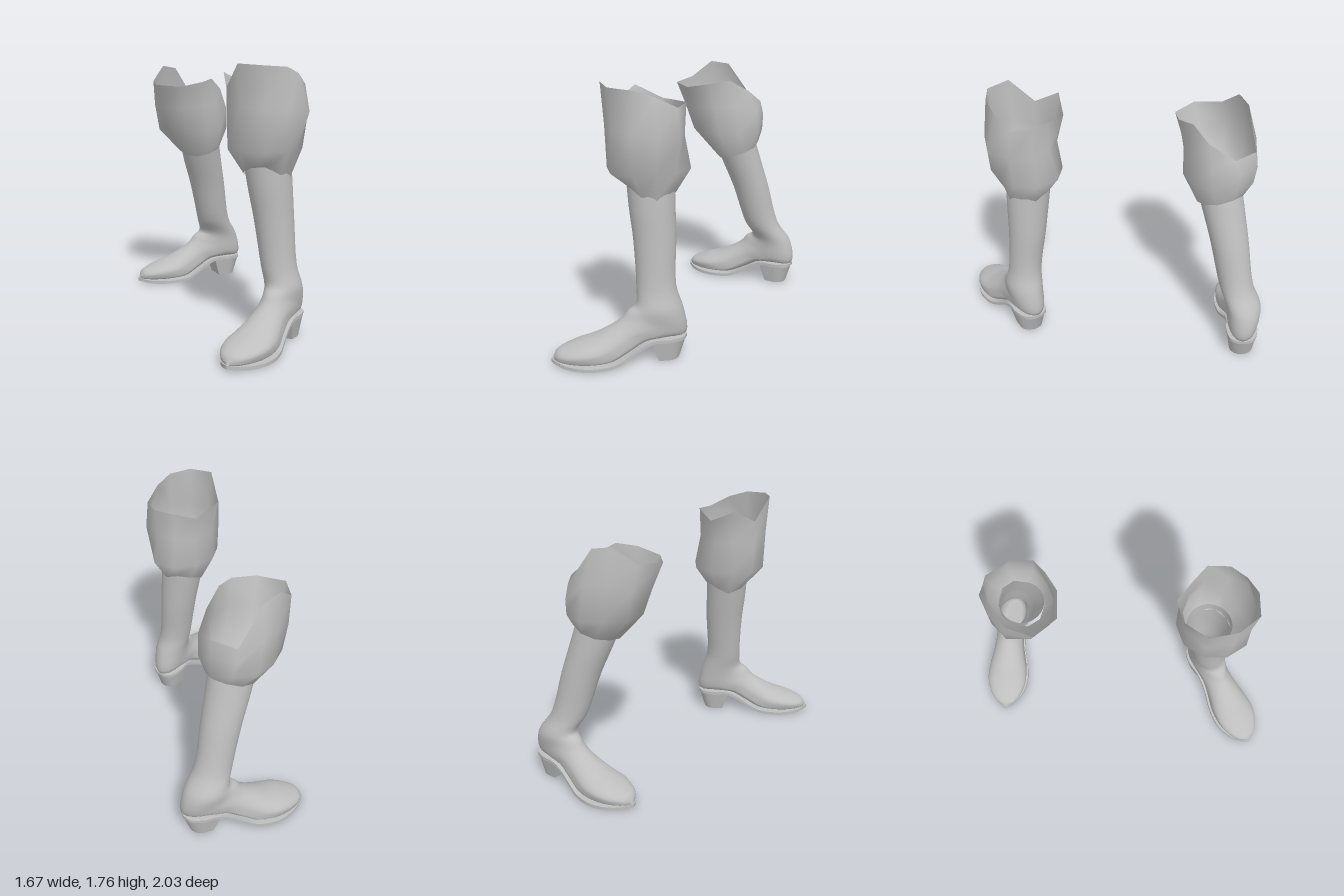
import * as THREE from 'three';
import { toCreasedNormals } from 'three/addons/utils/BufferGeometryUtils.js';

const leather = new THREE.MeshStandardMaterial({ color: 0xbebebe, side: THREE.DoubleSide });
leather.name = 'plain grey';

const V = (x, y, z) => new THREE.Vector3(x, y, z);

// Skin a list of closed rings, with optional fan caps on both ends.
function loft(rings, caps = false) {
  const n = rings[0].length, index = [];
  const pos = rings.flat().flatMap(p => [p.x, p.y, p.z]);
  for (let i = 0; i < rings.length - 1; i++) {
    for (let j = 0; j < n; j++) {
      const a = i * n + j, b = i * n + (j + 1) % n;
      index.push(a, b, a + n, b, b + n, a + n);
    }
  }
  if (caps) {
    const last = (rings.length - 1) * n;
    for (let j = 1; j < n - 1; j++) {
      index.push(0, j + 1, j, last, last + j, last + j + 1);
    }
  }
  const g = new THREE.BufferGeometry();
  g.setAttribute('position', new THREE.Float32BufferAttribute(pos, 3));
  g.setIndex(index);
  g.computeVertexNormals();
  return g;
}

// Foot sections: bottom s, y, top s, y, half width, squareness of the bottom
const FOOT = [
  [0.015, 0.32, 0.325, 0.37, 0.118, 1],
  [0.0, 0.16, 0.375, 0.335, 0.108, 0.9],
  [0.12, 0.15, 0.41, 0.29, 0.105, 0.6],
  [0.25, 0.14, 0.46, 0.25, 0.105, 0.5],
  [0.36, 0.085, 0.52, 0.215, 0.12, 0.45],
  [0.48, 0.03, 0.6, 0.175, 0.143, 0.4],
  [0.62, 0.02, 0.69, 0.145, 0.147, 0.4],
  [0.74, 0.02, 0.77, 0.115, 0.115, 0.45],
  [0.82, 0.025, 0.825, 0.09, 0.065, 0.5],
  [0.85, 0.03, 0.852, 0.05, 0.01, 0.6],
];

// Sole stations: s, underside height, half width
const SOLE = [
  [0, 0.135, 0.03], [0.03, 0.135, 0.08], [0.12, 0.135, 0.108], [0.22, 0.133, 0.105],
  [0.3, 0.1, 0.107], [0.4, 0.04, 0.122], [0.48, 0.008, 0.142], [0.6, 0, 0.157],
  [0.7, 0, 0.14], [0.79, 0.002, 0.09], [0.845, 0.01, 0.035], [0.865, 0.014, 0.004],
];

// Ring of a gathered cloth cuff from centre, radii and heights
function clothRing([cx, cz], radii, heights) {
  return radii.map((r, i) => {
    const a = (i / radii.length) * Math.PI * 2;
    return V(cx + r * Math.cos(a), heights[i], cz + r * Math.sin(a));
  });
}

function makeBoot({ name, side, heel, toe, shaft, cuff }) {
  const boot = new THREE.Group();
  boot.name = name;
  const add = (part, geometry) => {
    const m = new THREE.Mesh(geometry, leather);
    m.name = part;
    boot.add(m);
  };

  // Foot frame: u across, y up, s from heel back to toe tip
  const dir = V(toe[0] - heel[0], 0, toe[1] - heel[1]).normalize();
  const lat = V(dir.z, 0, -dir.x);
  const at = (u, y, s) => {
    const bow = side * 0.015 * Math.sin(Math.PI * s / 0.87);
    return V(heel[0], y, heel[1]).addScaledVector(dir, s).addScaledVector(lat, u + bow);
  };

  // Upper: horizontal shaft rings turning into foot sections
  const N = 28;
  const angles = Array.from({ length: N }, (_, j) => (j / N) * Math.PI * 2);
  const sections = shaft.map(([x, y, z, r, w]) => angles.map(t =>
    V(x, y, z).addScaledVector(dir, r * Math.cos(t)).addScaledVector(lat, w * Math.sin(t))));
  for (const [s1, y1, s2, y2, w, e] of FOOT) {
    sections.push(angles.map(t => {
      let c = Math.cos(t);
      if (c < 0) c = -Math.pow(-c, e);
      const k = (c + 1) / 2;
      return at(w * Math.sin(t), y1 + (y2 - y1) * k, s1 + (s2 - s1) * k);
    }));
  }
  const columns = angles.map((_, j) =>
    new THREE.CatmullRomCurve3(sections.map(r => r[j]), false, 'centripetal'));
  const steps = (sections.length - 1) * 4;
  const rings = Array.from({ length: steps + 1 }, (_, i) => columns.map(c => c.getPoint(i / steps)));
  add('upper', loft(rings));

  // Sole welt, swept along smoothed stations
  const path = new THREE.CatmullRomCurve3(SOLE.map(p => V(...p)), false, 'centripetal');
  const soleRings = path.getPoints(44).map(({ x: s, y, z: w }) =>
    [at(-w, y, s), at(w, y, s), at(w, y + 0.022, s), at(-w, y + 0.022, s)]);
  add('sole', toCreasedNormals(loft(soleRings, true), 0.6));

  // Stacked heel: flat breast, rounded back, tapering to the ground
  const heelRing = (y, back, front, w) => {
    const ring = [at(-w * 0.95, y, front), at(w * 0.95, y, front)];
    for (let i = 0; i <= 10; i++) {
      const a = (i / 10) * Math.PI;
      ring.push(at(w * Math.cos(a), y, back + (front - back) * 0.5 * (1 - Math.sin(a))));
    }
    return ring;
  };
  add('heel', toCreasedNormals(
    loft([heelRing(0, 0.045, 0.19, 0.08), heelRing(0.14, 0.0, 0.235, 0.106)], true), 0.6));

  // Gathered cloth cuff with a ragged rim
  const { hem, low, mid, rim } = cuff;
  const lowY = rim.y.map(() => 1.23);
  const midY = rim.y.map(y => (y + 1.24) / 2);
  add('cuff', loft([
    clothRing(hem.c, hem.y.map(() => 0.157), hem.y),
    clothRing(low.c, low.r, lowY),
    clothRing(mid.c, mid.r, midY),
    clothRing(rim.c, rim.r, rim.y),
  ]));
  return boot;
}

export function createModel() {
  const model = new THREE.Group();
  model.name = 'bootPair';

  model.add(makeBoot({
    name: 'leftBoot', side: 1, heel: [0.67, 0.145], toe: [0.57, 1.0],
    shaft: [
      [0.54, 1.18, 0.34, 0.152, 0.154], [0.565, 0.98, 0.335, 0.146, 0.142],
      [0.59, 0.78, 0.327, 0.136, 0.127], [0.63, 0.48, 0.33, 0.127, 0.112],
    ],
    cuff: {
      hem: { c: [0.545, 0.34], y: [1.06, 1.08, 1.13, 1.12, 1.08, 1.05, 1.09, 1.11, 1.07, 1.09] },
      low: { c: [0.55, 0.36], r: [0.2, 0.23, 0.26, 0.25, 0.25, 0.25, 0.25, 0.27, 0.27, 0.23] },
      mid: { c: [0.55, 0.36], r: [0.275, 0.25, 0.25, 0.26, 0.26, 0.25, 0.22, 0.21, 0.23, 0.26] },
      rim: {
        c: [0.55, 0.36], r: [0.2, 0.22, 0.27, 0.28, 0.26, 0.3, 0.27, 0.21, 0.24, 0.24],
        y: [1.7, 1.74, 1.75, 1.76, 1.61, 1.7, 1.62, 1.63, 1.64, 1.63],
      },
    },
  }));

  model.add(makeBoot({
    name: 'rightBoot', side: -1, heel: [-0.25, -0.99], toe: [-0.82, -0.335],
    shaft: [
      [-0.38, 1.16, -0.545, 0.152, 0.152], [-0.38, 0.98, -0.61, 0.146, 0.142],
      [-0.375, 0.78, -0.685, 0.135, 0.13], [-0.37, 0.48, -0.78, 0.127, 0.117],
    ],
    cuff: {
      hem: { c: [-0.38, -0.57], y: [1.08, 1.05, 1.03, 1.04, 1.06, 1.08, 1.11, 1.14, 1.14, 1.11] },
      low: { c: [-0.41, -0.51], r: [0.23, 0.24, 0.25, 0.26, 0.26, 0.23, 0.25, 0.25, 0.25, 0.26] },
      mid: { c: [-0.43, -0.48], r: [0.22, 0.24, 0.28, 0.29, 0.26, 0.22, 0.24, 0.28, 0.29, 0.29] },
      rim: {
        c: [-0.42, -0.44], r: [0.2, 0.24, 0.3, 0.32, 0.26, 0.21, 0.21, 0.3, 0.3, 0.25],
        y: [1.62, 1.6, 1.57, 1.58, 1.6, 1.71, 1.69, 1.44, 1.44, 1.54],
      },
    },
  }));
  return model;
}
